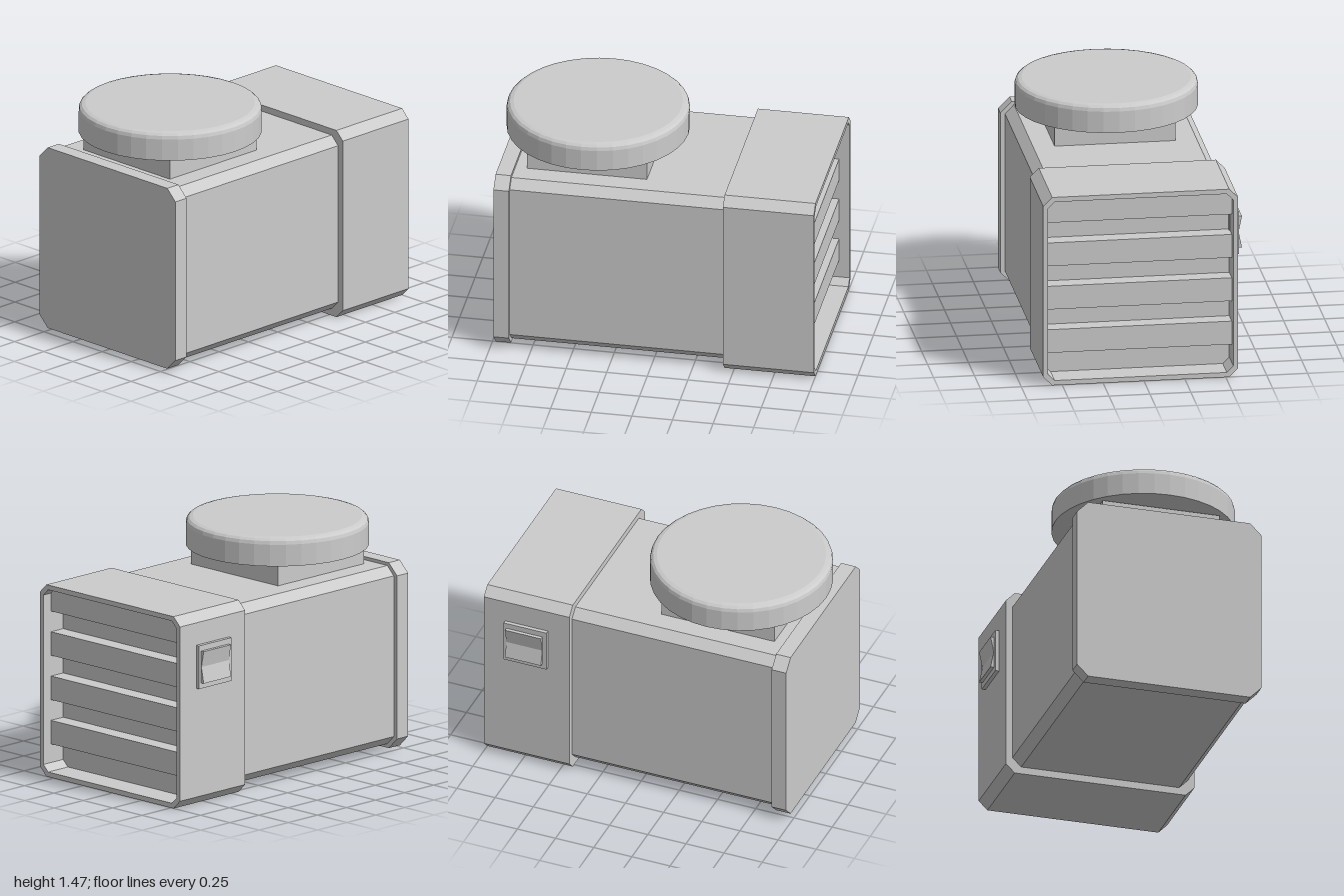
import * as THREE from 'three';

const CX = 0.02; // centre line of the housing
const material = new THREE.MeshStandardMaterial({ color: 0xcccccc, flatShading: true });

function add(group, name, geometry, x = 0, y = 0, z = 0) {
  const mesh = new THREE.Mesh(geometry, material);
  mesh.name = name;
  mesh.position.set(x, y, z);
  group.add(mesh);
  return mesh;
}

// Corner points of a rectangle with cut corners
function octagon(halfWidth, y0, y1, cut) {
  const w = halfWidth;
  return [
    [-w + cut, y0], [w - cut, y0], [w, y0 + cut], [w, y1 - cut],
    [w - cut, y1], [-w + cut, y1], [-w, y1 - cut], [-w, y0 + cut],
  ].map(([x, y]) => new THREE.Vector2(x, y));
}

function extrude(points, depth, hole) {
  const shape = new THREE.Shape(points);
  if (hole) shape.holes.push(new THREE.Path(hole));
  return new THREE.ExtrudeGeometry(shape, { depth, bevelEnabled: false });
}

export function createModel() {
  const model = new THREE.Group();
  model.name = 'device';

  // Housing: front plate, main body, hollow rear shell
  add(model, 'frontPlate', extrude(octagon(0.583, 0.02, 1.18, 0.07), 0.095), CX, 0, 0.88);
  add(model, 'mainBody', extrude(octagon(0.555, 0.045, 1.16, 0.055), 1.32), CX, 0, -0.44);
  const opening = octagon(0.566, 0.03, 1.17, 0.04);
  add(model, 'rearShell', extrude(octagon(0.596, 0, 1.2, 0.055), 0.56, opening), CX, 0, -1);
  add(model, 'recessPanel', extrude(opening, 0.39), CX, 0, -0.83);

  // Rear louvre slats
  for (let i = 0; i < 4; i++) {
    add(model, 'slat', new THREE.BoxGeometry(1.132, 0.148, 0.11), CX, 0.26 + i * 0.277, -0.88);
  }

  // Square neck and round cap with a softened top edge
  add(model, 'neck', new THREE.BoxGeometry(0.74, 0.135, 0.74), CX, 1.2175, 0.44);
  const profile = [[0, 1.29], [0.555, 1.29], [0.555, 1.425], [0.549, 1.446], [0.535, 1.459], [0.513, 1.465], [0, 1.465]]
    .map(([r, y]) => new THREE.Vector2(r, y));
  add(model, 'cap', new THREE.LatheGeometry(profile, 36), CX, 0, 0.44);

  // Rocker switch on the right side
  const power = new THREE.Group();
  power.name = 'switch';
  add(power, 'switchPlate', new THREE.BoxGeometry(0.06, 0.27, 0.28), -0.57, 0.87, -0.72);
  const rocker = [[-0.59, 0.77], [-0.59, 0.97], [-0.622, 0.97], [-0.602, 0.87], [-0.622, 0.77]]
    .map(([x, y]) => new THREE.Vector2(x, y));
  add(power, 'rocker', extrude(rocker, 0.235), 0, 0, -0.842);
  model.add(power);

  return model;
}
